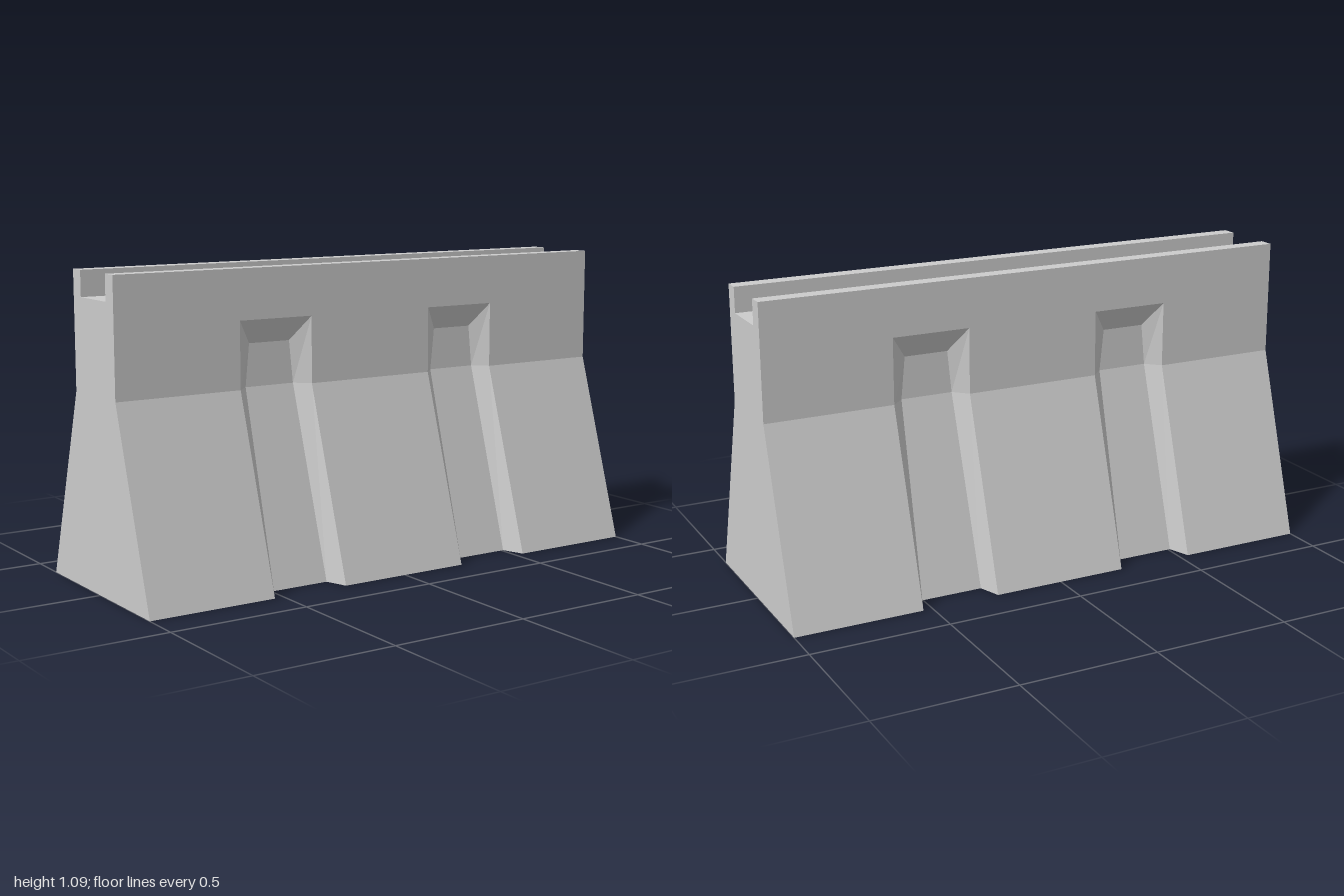
import * as THREE from 'three';

const material = new THREE.MeshStandardMaterial({ color: 0xcccccc, flatShading: true, side: THREE.DoubleSide });

// heights and depths of the wall section
const FOOT = 0.36, NECK = 0.148, NECK_Y = 0.675, TOP = 1.085;
const CHANNEL = 0.093, CHANNEL_Y = 0.995, POCKET_Y = 0.91;
const GROOVE_X = 0.3925, GROOVE_HALF = 0.1425;

// Mesh from four-cornered faces, corners counter-clockwise from outside
function quadMesh(name, quads) {
  const points = quads.flatMap(([a, b, c, d]) => [a, b, c, a, c, d]);
  const geometry = new THREE.BufferGeometry();
  geometry.setAttribute('position', new THREE.Float32BufferAttribute(points.flat(), 3));
  geometry.computeVertexNormals();
  const mesh = new THREE.Mesh(geometry, material);
  mesh.name = name;
  return mesh;
}

// Strip between two [y, z] levels, from x0 to x1
const strip = (x0, x1, [y0, z0], [y1, z1]) =>
  [[x0, y0, z0], [x1, y0, z0], [x1, y1, z1], [x0, y1, z1]];

// Sloping face and upright neck, left open where the grooves sit
function makeWall() {
  const levels = [[0, FOOT], [NECK_Y, NECK], [POCKET_Y, NECK]];
  const inner = GROOVE_X - GROOVE_HALF, outer = GROOVE_X + GROOVE_HALF;
  const quads = [strip(-1, 1, levels[2], [TOP, NECK])];
  for (const [x0, x1] of [[-1, -outer], [-inner, inner], [outer, 1]]) {
    for (let i = 0; i < 2; i++) quads.push(strip(x0, x1, levels[i], levels[i + 1]));
  }
  return quadMesh('wallFace', quads);
}

// Tapered recess: floor, two flared cheeks and a sloping head
function makeGroove(x) {
  const rim = [[GROOVE_HALF, 0, FOOT], [GROOVE_HALF, NECK_Y, NECK], [GROOVE_HALF, POCKET_Y, NECK]];
  const floor = [[0.115, 0, 0.28], [0.095, NECK_Y, 0.1], [0.08, 0.825, 0.1]];
  const left = ([hx, y, z]) => [x - hx, y, z];
  const right = ([hx, y, z]) => [x + hx, y, z];
  const quads = [[left(floor[2]), right(floor[2]), right(rim[2]), left(rim[2])]];
  for (let i = 0; i < 2; i++) {
    const f0 = floor[i], f1 = floor[i + 1], r0 = rim[i], r1 = rim[i + 1];
    quads.push([left(f0), right(f0), right(f1), left(f1)]);
    quads.push([left(r0), left(f0), left(f1), left(r1)]);
    quads.push([right(f0), right(r0), right(r1), right(f1)]);
  }
  return quadMesh('groove', quads);
}

export function createModel() {
  const group = new THREE.Group();
  group.name = 'barrier';

  // Front and back sides
  for (const turn of [0, Math.PI]) {
    const side = new THREE.Group();
    side.name = turn ? 'backSide' : 'frontSide';
    side.add(makeWall(), makeGroove(-GROOVE_X), makeGroove(GROOVE_X));
    side.rotation.y = turn;
    group.add(side);
  }

  // Top rails with the channel between them
  const ridge = [[TOP, NECK], [TOP, CHANNEL], [CHANNEL_Y, CHANNEL],
    [CHANNEL_Y, -CHANNEL], [TOP, -CHANNEL], [TOP, -NECK]];
  group.add(quadMesh('topChannel', ridge.slice(1).map((p, i) => strip(-1, 1, ridge[i], p))));

  // End faces; the underside stays open
  const outline = [[0, -FOOT], [NECK_Y, -NECK], ...ridge.slice().reverse(), [NECK_Y, NECK], [0, FOOT]];
  const shape = new THREE.Shape(outline.map(([y, z]) => new THREE.Vector2(z, y)));
  for (const s of [1, -1]) {
    const end = new THREE.Mesh(new THREE.ShapeGeometry(shape), material);
    end.name = s > 0 ? 'leftEnd' : 'rightEnd';
    end.rotation.y = s * Math.PI / 2;
    end.position.x = s;
    group.add(end);
  }
  return group;
}
